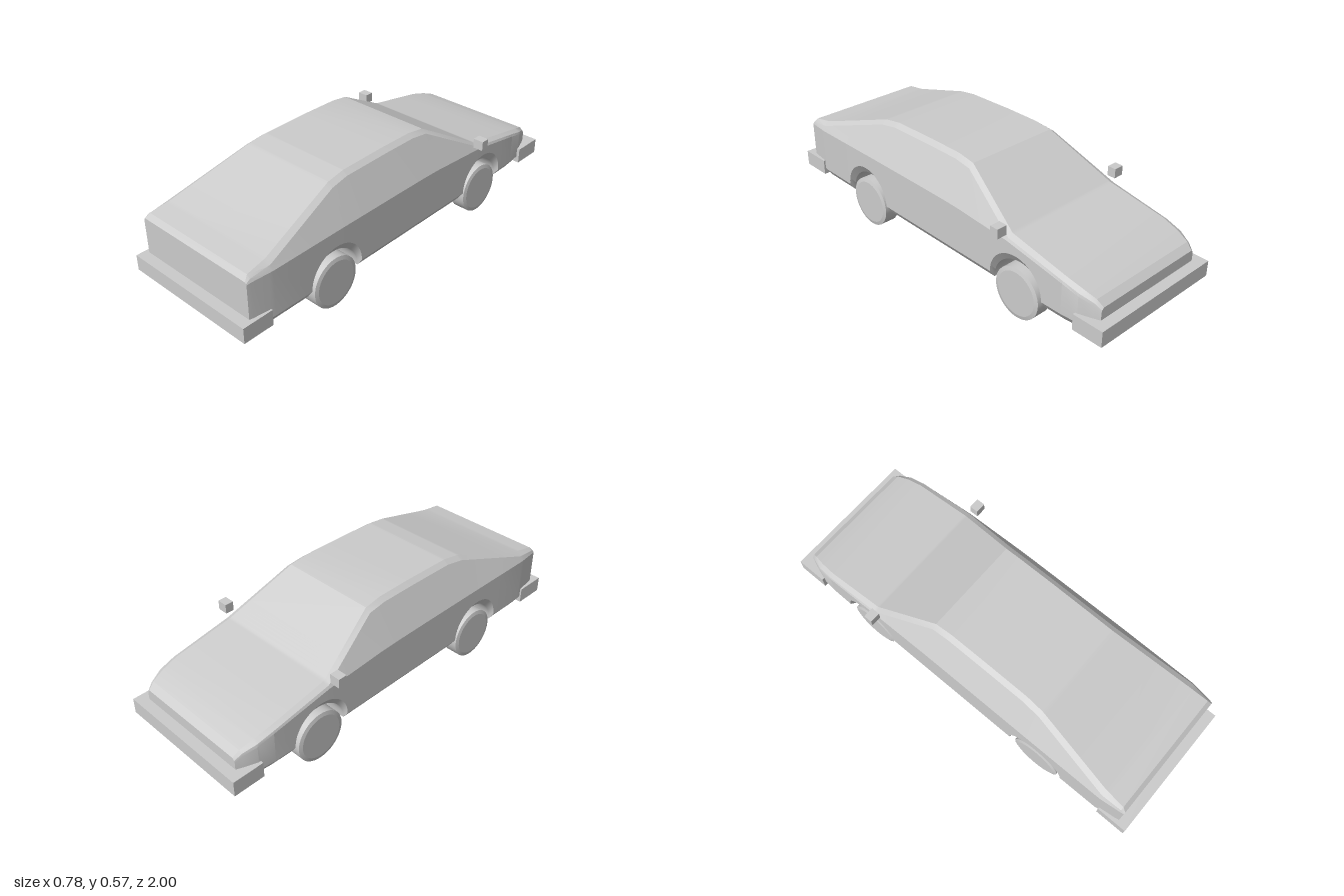
import * as THREE from 'three';
import { toCreasedNormals } from 'three/addons/utils/BufferGeometryUtils.js';

const material = new THREE.MeshStandardMaterial({ color: 0xcccccc });
const thin = new THREE.MeshStandardMaterial({ color: 0xcccccc, side: THREE.DoubleSide });

// Body stations along z: half width, belt height, shoulder x/y, top x/y
const STATIONS = [
  // z,    width, belt, shX,  shY,   topX, topY
  [-0.95, 0.292, 0.245, 0.290, 0.255, 0.280, 0.265],
  [-0.92, 0.305, 0.268, 0.302, 0.280, 0.288, 0.292],
  [-0.86, 0.326, 0.290, 0.322, 0.302, 0.300, 0.314],
  [-0.78, 0.333, 0.312, 0.329, 0.323, 0.308, 0.335],
  [-0.48, 0.337, 0.365, 0.330, 0.377, 0.305, 0.390],
  [-0.17, 0.337, 0.385, 0.260, 0.545, 0.236, 0.562],
  [-0.08, 0.337, 0.387, 0.257, 0.556, 0.233, 0.574],
  [0.10, 0.337, 0.388, 0.257, 0.556, 0.233, 0.575],
  [0.34, 0.337, 0.388, 0.257, 0.552, 0.233, 0.570],
  [0.43, 0.337, 0.388, 0.262, 0.538, 0.237, 0.556],
  [0.83, 0.335, 0.384, 0.322, 0.408, 0.295, 0.425],
  [0.93, 0.323, 0.380, 0.317, 0.394, 0.302, 0.408],
  [0.95, 0.319, 0.375, 0.317, 0.380, 0.311, 0.386],
];
const AXLES = [-0.528, 0.483];
const ARCH = 0.148;
const FLOOR = 0.125;

function sectionAt(z) {
  let i = 0;
  while (i < STATIONS.length - 2 && STATIONS[i + 1][0] < z) i++;
  const a = STATIONS[i], b = STATIONS[i + 1];
  const t = (z - a[0]) / (b[0] - a[0]);
  return a.map((v, k) => v + (b[k] - v) * t);
}

// Underside height: flat floor, lifted at the ends and over the wheels
function floorAt(z) {
  let y = FLOOR + Math.max(0, Math.abs(z) - 0.85) * 0.15;
  for (const c of AXLES) {
    const d = Math.abs(z - c);
    if (d < ARCH) y = FLOOR + Math.sqrt(ARCH * ARCH - d * d);
  }
  return y;
}

// Cross-section loop, counter-clockwise seen from +z
function ringAt(z) {
  const [, w, belt, sx, sy, tx, ty] = sectionAt(z);
  const f = floorAt(z);
  const half = [[w - 0.028, f], [w, f + 0.04], [w, belt], [sx, sy], [tx, ty]];
  const mirrored = half.map(([x, y]) => [-x, y]).reverse();
  return [...half, ...mirrored].map(([x, y]) => [x, y, z]);
}

function bodyGeometry() {
  const zs = [...STATIONS.map((s) => s[0]), -0.85, 0.85];
  for (const c of AXLES) {
    for (let i = 0; i <= 24; i++) zs.push(c - ARCH * Math.cos((i / 24) * Math.PI));
  }
  zs.sort((a, b) => a - b);
  const rings = zs.map(ringAt);
  const n = rings[0].length;
  const index = [];
  for (let i = 0; i < rings.length - 1; i++) {
    for (let j = 0; j < n; j++) {
      const a = i * n + j, b = i * n + ((j + 1) % n);
      index.push(a, b, b + n, a, b + n, a + n);
    }
  }
  // Nose and tail caps
  const last = (rings.length - 1) * n;
  for (let j = 1; j < n - 1; j++) {
    index.push(0, j + 1, j, last, last + j, last + j + 1);
  }
  const geometry = new THREE.BufferGeometry();
  geometry.setAttribute('position', new THREE.Float32BufferAttribute(rings.flat(2), 3));
  geometry.setIndex(index);
  return toCreasedNormals(geometry, 0.35);
}

// Wheel with its axis on y: slightly domed outer face, open inner side
function wheelGeometry() {
  const profile = [[0.123, 0.25], [0.123, 0.324], [0.105, 0.329], [0, 0.329]];
  const points = profile.map(([r, h]) => new THREE.Vector2(r, h));
  return toCreasedNormals(new THREE.LatheGeometry(points, 40), 0.2);
}

export function createModel() {
  const model = new THREE.Group();
  const add = (name, geometry, x = 0, y = 0, z = 0, mat = material) => {
    const mesh = new THREE.Mesh(geometry, mat);
    mesh.name = name;
    mesh.position.set(x, y, z);
    model.add(mesh);
    return mesh;
  };

  add('body', bodyGeometry());

  // Bumpers wrap both ends
  const bumper = new THREE.BoxGeometry(0.682, 0.075, 0.15);
  add('noseBumper', bumper, 0, 0.172, -0.925);
  add('tailBumper', bumper, 0, 0.172, 0.925);

  // Wheels and mirrors on both sides
  const wheel = wheelGeometry();
  const mirror = new THREE.BoxGeometry(0.051, 0.046, 0.042);
  for (const side of [-1, 1]) {
    const label = side > 0 ? 'left' : 'right';
    AXLES.forEach((z, i) => {
      const mesh = add(`${label}${i ? 'Tail' : 'Nose'}Wheel`, wheel, 0, 0.123, z, thin);
      mesh.rotation.z = (-side * Math.PI) / 2;
    });
    add(`${label}Mirror`, mirror, side * 0.363, 0.417, -0.457);
  }
  return model;
}
